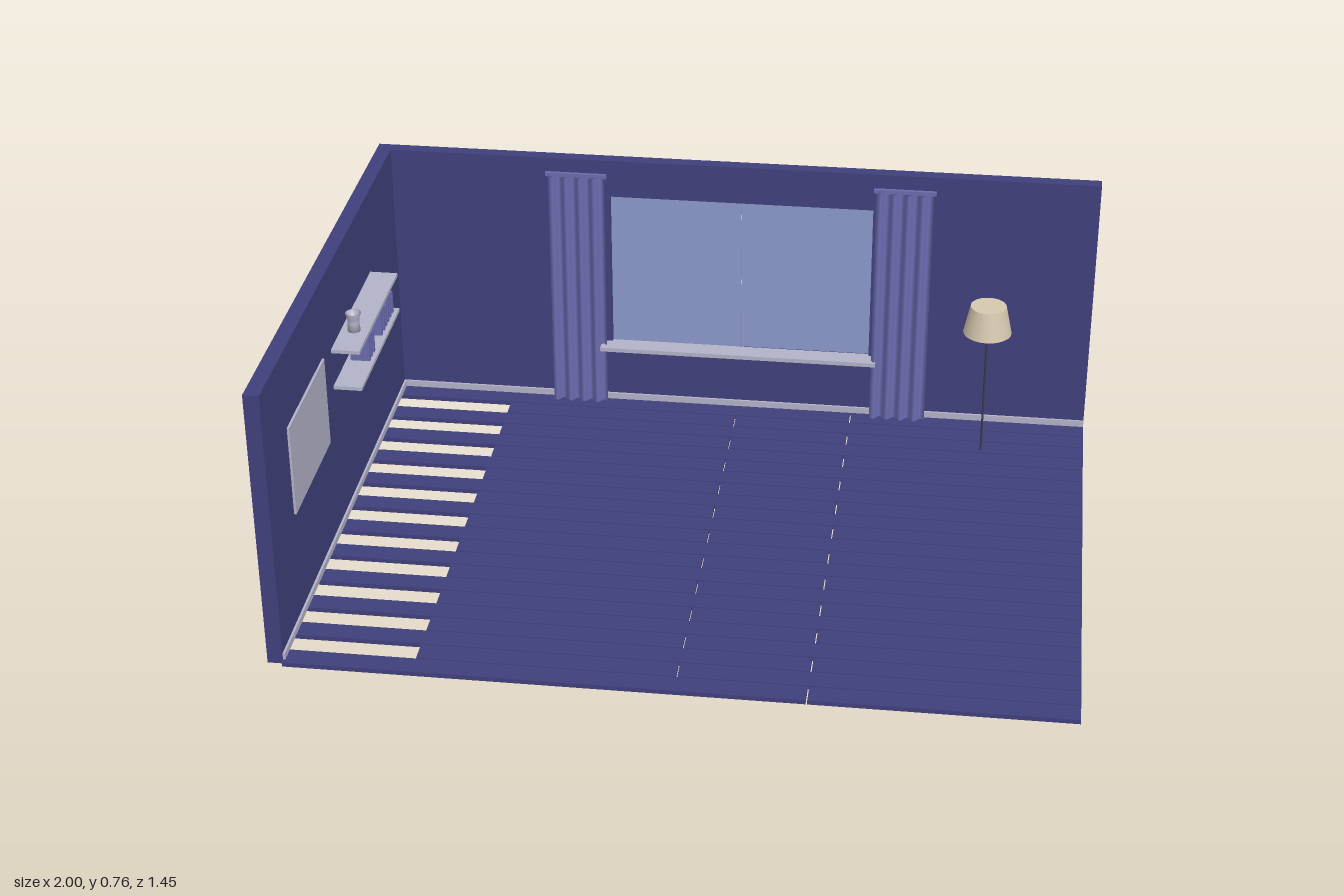
import * as THREE from 'three';

export function createModel() {
  const room = new THREE.Group();
  room.name = 'room';

  const mat = (name, color, side = THREE.FrontSide) => {
    const m = new THREE.MeshStandardMaterial({ color, side });
    m.name = name;
    return m;
  };
  const navy = mat('navy', 0x40407c);
  const lilac = mat('lilac', 0x6b6bb0, THREE.DoubleSide);
  const paleGrey = mat('paleGrey', 0xb3b3c8);
  const glass = mat('glass', 0x8c99cc);
  const cream = mat('cream', 0xd6c8b0);
  const dark = mat('dark', 0x3a3a4c);

  const add = (name, geometry, material, parent = room) => {
    const m = new THREE.Mesh(geometry, material);
    m.name = name;
    parent.add(m);
    return m;
  };
  // Box given by its minimum and maximum on each axis
  const box = (name, material, x0, x1, y0, y1, z0, z1, parent = room) => {
    const m = add(name, new THREE.BoxGeometry(x1 - x0, y1 - y0, z1 - z0), material, parent);
    m.position.set((x0 + x1) / 2, (y0 + y1) / 2, (z0 + z1) / 2);
    return m;
  };
  const group = (name) => {
    const g = new THREE.Group();
    g.name = name;
    room.add(g);
    return g;
  };

  // Floor planks: alternate rows are staggered and start further in
  const floor = group('floor');
  const rows = 23, z0 = -0.69, pitch = 1.415 / rows, gap = 0.004;
  for (let i = 0; i < rows; i++) {
    const ends = i % 2 ? [-0.635, 0.017, 1] : [-0.96, 0.342, 1];
    for (let j = 0; j < 2; j++) {
      box('plank', navy, ends[j], ends[j + 1] - (j ? 0 : gap), 0, 0.012,
        z0 + i * pitch + gap / 2, z0 + (i + 1) * pitch - gap / 2, floor);
    }
  }

  // Walls, the back one with a window opening
  box('leftWall', navy, -1, -0.96, 0, 0.76, -0.69, 0.71);
  const wall = new THREE.Shape();
  wall.moveTo(-1, 0).lineTo(1, 0).lineTo(1, 0.76).lineTo(-1, 0.76).closePath();
  const opening = new THREE.Path();
  opening.moveTo(-0.345, 0.195).lineTo(-0.345, 0.652).lineTo(0.385, 0.652).lineTo(0.385, 0.195).closePath();
  wall.holes.push(opening);
  add('backWall', new THREE.ExtrudeGeometry(wall, { depth: 0.036, bevelEnabled: false }), navy)
    .position.z = -0.726;

  // Skirting boards
  box('backSkirting', paleGrey, -0.96, 1, 0.012, 0.03, -0.69, -0.684);
  box('leftSkirting', paleGrey, -0.96, -0.954, 0.012, 0.03, -0.684, 0.71);

  // Two sliding panes and the sill
  const win = group('window');
  box('frontPane', glass, -0.345, 0.02, 0.195, 0.652, -0.707, -0.7, win);
  box('rearPane', glass, 0.02, 0.385, 0.195, 0.652, -0.715, -0.708, win);
  box('sill', paleGrey, -0.375, 0.407, 0.186, 0.198, -0.7, -0.645, win);

  // Curtains: wavy ribbons hanging from short rails
  for (const x of [-0.436, 0.472]) {
    const curtain = group('curtain');
    const cloth = new THREE.PlaneGeometry(0.156, 0.705, 40, 1);
    const p = cloth.attributes.position;
    for (let i = 0; i < p.count; i++) {
      p.setZ(i, 0.009 * Math.sin((p.getX(i) / 0.156 + 0.5) * Math.PI * 8));
    }
    cloth.computeVertexNormals();
    add('curtainCloth', cloth, lilac, curtain).position.set(x, 0.3675, -0.661);
    box('curtainRail', lilac, x - 0.085, x + 0.085, 0.72, 0.731, -0.666, -0.656, curtain);
  }

  // Wall picture
  box('picture', paleGrey, -0.96, -0.954, 0.312, 0.559, 0.156, 0.511);

  // Shelves with books and a vase
  const shelves = group('shelves');
  for (const y of [0.42, 0.527]) {
    box('shelf', paleGrey, -0.96, -0.885, y, y + 0.01, -0.38, 0.068, shelves);
  }
  [-0.08, -0.104, -0.13, -0.224, -0.253, -0.277, -0.303, -0.328, -0.354].forEach((z, i) => {
    box('book', lilac, -0.948, -0.896, 0.43, 0.512 - 0.01 * (i % 3), z - 0.006, z + 0.006, shelves);
  });
  const vaseProfile = [[0, 0], [0.017, 0], [0.015, 0.025], [0.016, 0.036], [0.021, 0.052], [0.018, 0.052], [0.012, 0.03], [0, 0.03]]
    .map(([r, y]) => new THREE.Vector2(r, y));
  add('vase', new THREE.LatheGeometry(vaseProfile, 20), paleGrey, shelves)
    .position.set(-0.925, 0.537, -0.044);

  // Floor lamp
  const lamp = group('floorLamp');
  lamp.position.set(0.716, 0, -0.522);
  add('lampPole', new THREE.CylinderGeometry(0.003, 0.003, 0.4, 10), dark, lamp).position.y = 0.212;
  add('lampShade', new THREE.CylinderGeometry(0.049, 0.066, 0.08, 24), cream, lamp).position.y = 0.425;

  return room;
}
